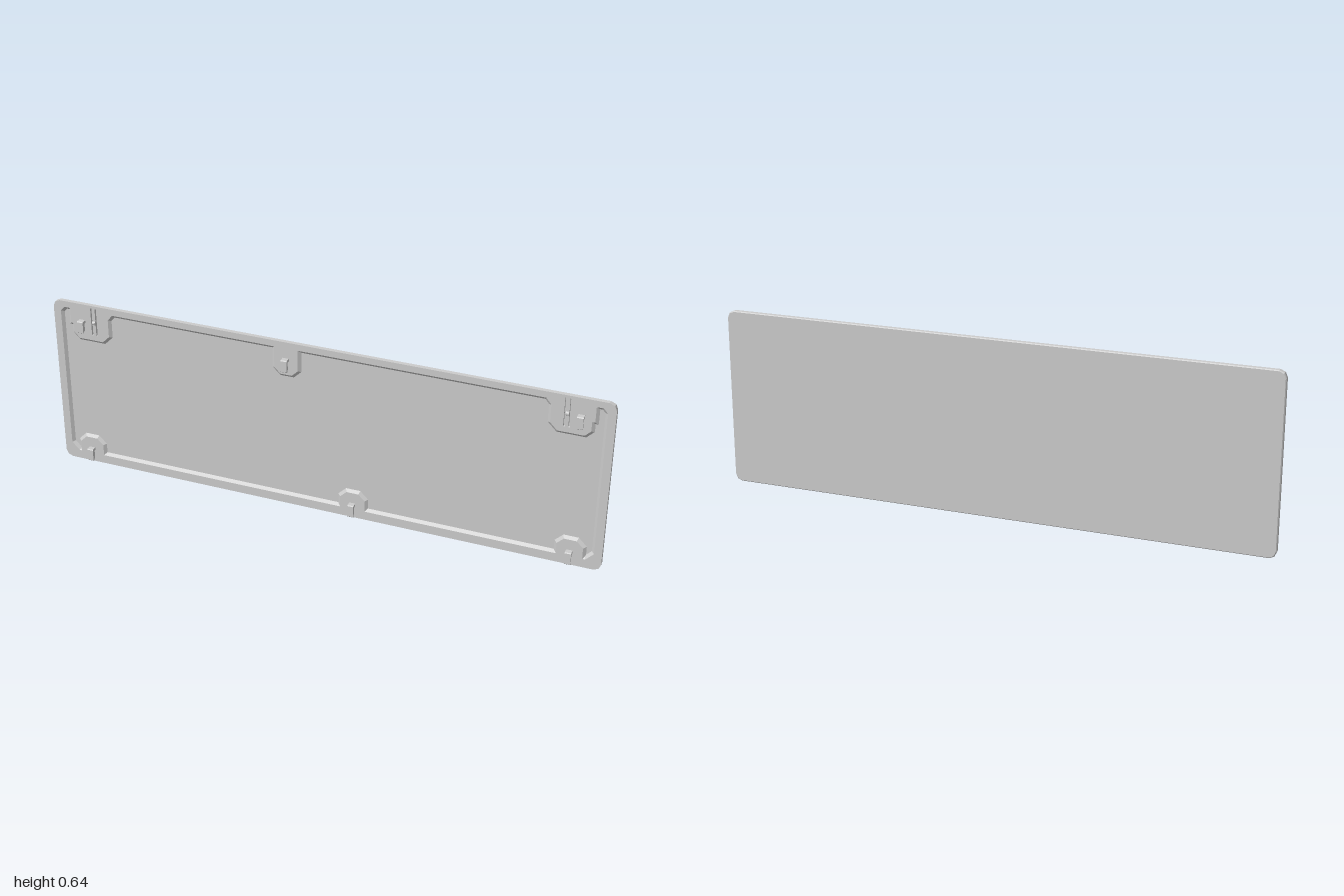
import * as THREE from 'three';

const material = new THREE.MeshStandardMaterial({ color: 0xcccccc, flatShading: true, side: THREE.DoubleSide });
const FLOOR = -0.009; // depth of the front pocket
const H = 0.64;

function add(parent, name, geometry, x = 0, y = 0, z = 0) {
  const mesh = new THREE.Mesh(geometry, material);
  mesh.name = name;
  mesh.position.set(x, y, z);
  parent.add(mesh);
  return mesh;
}

const toVectors = (pts) => pts.map(([x, y]) => new THREE.Vector2(x, y));

// Rectangle with cut corners
function cutRect(x0, y0, x1, y1, c) {
  const k = c * 0.3;
  return toVectors([
    [x0 + c, y0], [x1 - c, y0], [x1 - k, y0 + k], [x1, y0 + c], [x1, y1 - c], [x1 - k, y1 - k],
    [x1 - c, y1], [x0 + c, y1], [x0 + k, y1 - k], [x0, y1 - c], [x0, y0 + c], [x0 + k, y0 + k],
  ]);
}

// Counter-clockwise pocket outline that steps around the hook bosses
function pocketOutline() {
  const pts = [[-0.973, 0.062], [-0.945, 0.033]];
  for (const x of [-0.89, 0.12, 0.89]) {
    pts.push([x - 0.045, 0.033], [x - 0.045, 0.075], [x - 0.022, 0.098],
      [x + 0.022, 0.098], [x + 0.045, 0.075], [x + 0.045, 0.033]);
  }
  pts.push([0.945, 0.033], [0.973, 0.062]);
  const corner = [[0.973, 0.6], [0.958, 0.617], [0.935, 0.617], [0.935, 0.56], [0.925, 0.56],
    [0.925, 0.525], [0.905, 0.505], [0.815, 0.505], [0.79, 0.53], [0.79, 0.595], [0.772, 0.617]];
  pts.push(...corner);
  pts.push([-0.08, 0.617], [-0.08, 0.538], [-0.102, 0.517], [-0.143, 0.517], [-0.165, 0.538], [-0.165, 0.617]);
  pts.push(...corner.map(([x, y]) => [-x, y]).reverse());
  return toVectors(pts);
}

// Mitred inward offset of a counter-clockwise outline
function inset(pts, d) {
  return pts.map((p, i) => {
    const a = p.clone().sub(pts[(i + pts.length - 1) % pts.length]).normalize();
    const b = pts[(i + 1) % pts.length].clone().sub(p).normalize();
    const n = new THREE.Vector2(-a.y - b.y, a.x + b.x);
    return p.clone().addScaledVector(n, d / (1 + a.dot(b)));
  });
}

// Strip of quads joining two matching outlines
function strip(a, za, b, zb) {
  const pos = [], index = [], n = a.length;
  for (let i = 0; i < n; i++) {
    pos.push(a[i].x, a[i].y, za, b[i].x, b[i].y, zb);
    const p = 2 * i, q = 2 * ((i + 1) % n);
    index.push(p, q, p + 1, q, q + 1, p + 1);
  }
  const g = new THREE.BufferGeometry();
  g.setAttribute('position', new THREE.Float32BufferAttribute(pos, 3));
  g.setIndex(index);
  g.computeVertexNormals();
  return g;
}

// Hook: narrow web under a wider top lip and front plate
function hook(x, y0, y1) {
  const group = new THREE.Group();
  group.name = 'hook';
  group.position.x = x;
  const profile = new THREE.Shape(toVectors([
    [-0.002, y1], [0.0175, y1], [0.02, y1 - 0.003], [0.02, y0 + 0.002], [0.018, y0],
    [0.014, y0], [0.014, y1 - 0.01], [-0.002, y1 - 0.01],
  ]));
  const lip = new THREE.ExtrudeGeometry(profile, { depth: 0.022, bevelEnabled: false });
  lip.rotateY(-Math.PI / 2).translate(0.011, 0, 0);
  // The profile's first axis becomes z
  add(group, 'hookLip', lip);
  const h = y1 - y0 - 0.012;
  add(group, 'hookWeb', new THREE.BoxGeometry(0.014, h, 0.017), 0, y0 + 0.002 + h / 2, 0.0065);
  return group;
}

export function createModel() {
  const model = new THREE.Group();
  model.name = 'coverPanel';
  const outline = cutRect(-1, 0, 1, H, 0.025);
  const pocket = pocketOutline();

  // Back sheet with a small bevel around its rear edge
  const sheet = new THREE.ExtrudeGeometry(new THREE.Shape(outline), {
    depth: 0.003, bevelEnabled: true, bevelThickness: 0.003, bevelSize: 0.003, bevelOffset: -0.003, bevelSegments: 1,
  });
  add(model, 'backSheet', sheet, 0, 0, -0.015);

  // Raised rim and bosses, with pairs of slots beside the upper corner hooks
  const rim = new THREE.Shape(outline);
  rim.holes.push(new THREE.Path(pocket));
  for (const x of [-0.853, -0.836, 0.836, 0.853]) {
    rim.holes.push(new THREE.Path(toVectors([
      [x - 0.003, 0.525], [x - 0.003, 0.63], [x + 0.003, 0.63], [x + 0.003, 0.525],
    ])));
  }
  add(model, 'rim', new THREE.ExtrudeGeometry(rim, { depth: 0.012, bevelEnabled: false }), 0, 0, -0.012);

  // Sloped wall of the pocket
  add(model, 'pocketWall', strip(pocket, 0, inset(pocket, 0.01), FLOOR));

  // Hooks along the top and bottom edges
  for (const x of [-0.89, -0.123, 0.89]) model.add(hook(x, 0.535, 0.58));
  for (const x of [-0.89, 0.12, 0.89]) model.add(hook(x, 0.011, 0.058));

  // Snap bumps on the tongues between the slots
  for (const x of [-0.8445, 0.8445]) {
    const bump = new THREE.CylinderGeometry(0.007, 0.007, 0.011, 12);
    bump.rotateZ(Math.PI / 2);
    add(model, 'snapBump', bump, x, 0.575, 0);
  }
  return model;
}
